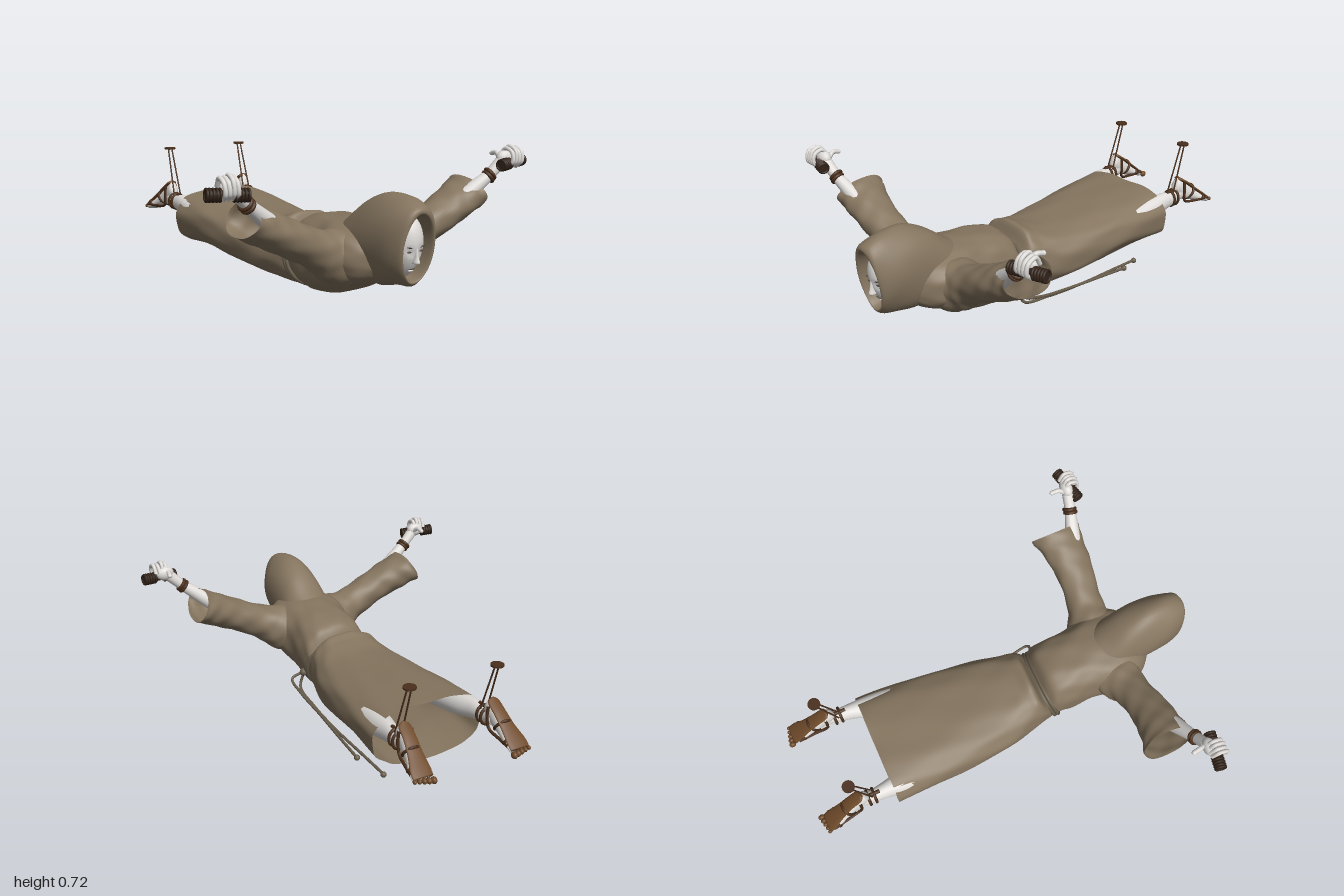
import * as THREE from 'three';

const mat = (name, color, side = THREE.FrontSide) => {
  const m = new THREE.MeshStandardMaterial({ color, side });
  m.name = name;
  return m;
};
const V = (x, y, z) => new THREE.Vector3(x, y, z);
const X = V(1, 0, 0), Y = V(0, 1, 0), Z = V(0, 0, 1);

// Catmull-Rom blend through rows of numbers
function blend(keys, t) {
  const f = t * (keys.length - 1), i = Math.min(Math.floor(f), keys.length - 2), u = f - i;
  const at = (k) => keys[Math.max(0, Math.min(keys.length - 1, k))];
  return at(i).map((_, c) => {
    const [p, q, r, s] = [at(i - 1)[c], at(i)[c], at(i + 1)[c], at(i + 2)[c]];
    return q + 0.5 * u * (r - p + u * (2 * p - 5 * q + 4 * r - s + u * (3 * (q - r) + s - p)));
  });
}

// Tube of oval sections; each key is [x, y, z, half width, half height, lean]
function loft(keys, u, v, { rows = 40, cols = 36, square = 1, fold = () => 0, cap = true } = {}) {
  const w = u.clone().cross(v), pos = [], idx = [];
  for (let i = 0; i <= rows; i++) {
    const t = i / rows, [x, y, z, a, b, lean = 0] = blend(keys, t);
    for (let j = 0; j < cols; j++) {
      const th = (j / cols) * Math.PI * 2, c = Math.cos(th), s = Math.sin(th), k = 1 + fold(t, th);
      const h = b * k * Math.sign(s) * Math.abs(s) ** square;
      const p = V(x, y, z).addScaledVector(u, a * k * Math.sign(c) * Math.abs(c) ** square)
        .addScaledVector(v, h).addScaledVector(w, lean * h);
      pos.push(p.x, p.y, p.z);
      if (i < rows) {
        const p0 = i * cols + j, p1 = i * cols + ((j + 1) % cols);
        idx.push(p0, p1, p0 + cols, p1, p1 + cols, p0 + cols);
      }
    }
  }
  if (cap) [0, rows].forEach((row, e) => {
    const [x, y, z] = keys[e ? keys.length - 1 : 0], n = pos.length / 3;
    pos.push(x, y, z);
    for (let j = 0; j < cols; j++) {
      const a = row * cols + j, b = row * cols + ((j + 1) % cols);
      idx.push(n, e ? a : b, e ? b : a);
    }
  });
  const g = new THREE.BufferGeometry();
  g.setAttribute('position', new THREE.Float32BufferAttribute(pos, 3));
  g.setIndex(idx);
  g.computeVertexNormals();
  return g;
}

export function createModel() {
  const root = new THREE.Group();
  root.name = 'flyingRobedFigure';
  const robe = mat('robeCloth', 0x85755f, THREE.DoubleSide);
  const skin = mat('paleSkin', 0xdedbd8);
  const leather = mat('darkLeather', 0x4a2f1c);
  const soleMat = mat('soleLeather', 0x6e4a2a);
  const iron = mat('darkGrip', 0x33241a);
  const rope = mat('rope', 0x685d4c);
  const dark = mat('faceLines', 0x4a423d);

  let target = root;
  const add = (name, geo, material) => {
    const m = new THREE.Mesh(geo, material);
    m.name = name;
    target.add(m);
    return m;
  };
  const ball = (name, m, p, rx, ry = rx, rz = rx) => {
    const o = add(name, new THREE.SphereGeometry(1, 20, 14), m);
    o.position.copy(p);
    o.scale.set(rx, ry, rz);
    return o;
  };
  const rod = (name, m, p, q, r1, r2 = r1) => {
    const o = add(name, new THREE.CylinderGeometry(r2, r1, p.distanceTo(q), 16), m);
    o.position.copy(p).lerp(q, 0.5);
    o.quaternion.setFromUnitVectors(Y, q.clone().sub(p).normalize());
  };
  const ring = (name, m, p, axis, r, tube, sx = 1, sy = 1) => {
    const o = add(name, new THREE.TorusGeometry(r, tube, 8, 24), m);
    o.position.copy(p);
    o.quaternion.setFromUnitVectors(Z, axis.clone().normalize());
    o.scale.set(sx, sy, 1);
  };
  const cord = (name, m, pts, r) => add(name, new THREE.TubeGeometry(
    new THREE.CatmullRomCurve3(pts.map((p) => V(...p))), 48, r, 8), m);

  // Robe body: open hem at the back, pinched at the waist
  add('robeBody', loft([
    [0, 0.26, -0.62, 0.278, 0.15, 0], [0, 0.258, -0.4, 0.27, 0.135, 0], [0, 0.24, -0.2, 0.256, 0.135, 0],
    [0, 0.225, 0, 0.233, 0.14, 0], [0, 0.23, 0.12, 0.2, 0.155, -0.05], [0, 0.235, 0.2, 0.18, 0.165, -0.15],
    [0, 0.205, 0.255, 0.165, 0.115, -0.3], [0, 0.24, 0.29, 0.17, 0.16, -0.15], [0, 0.25, 0.36, 0.175, 0.18, 0],
    [0, 0.26, 0.46, 0.175, 0.18, 0], [0, 0.28, 0.56, 0.2, 0.165, 0], [0, 0.3, 0.66, 0.2, 0.135, 0],
    [0, 0.3, 0.74, 0.16, 0.11, 0], [0, 0.3, 0.8, 0.09, 0.07, 0],
  ], X, Y, {
    rows: 110, cols: 72, square: 0.82, cap: false,
    fold: (t, a) => 0.012 * Math.sin(7 * a + 9 * t) * Math.sin(26 * t + 2 * a) + 0.008 * Math.sin(11 * a - 30 * t)
      - 0.13 * Math.max(0, 1 - t / 0.22) * Math.exp(-(((a - Math.PI / 2) / 0.45) ** 2)),
  }), robe);

  // Hood, rolled inward at the face opening
  add('hood', loft([
    [0, 0.34, 0.5, 0.08, 0.08, 0], [0, 0.345, 0.58, 0.12, 0.125, 0], [0, 0.37, 0.68, 0.125, 0.175, 0],
    [0, 0.385, 0.78, 0.125, 0.2, 0.03], [0, 0.393, 0.88, 0.118, 0.19, 0.1], [0, 0.387, 0.945, 0.1, 0.175, 0.15],
    [0, 0.383, 0.968, 0.083, 0.155, 0.15], [0, 0.378, 0.952, 0.072, 0.14, 0.15], [0, 0.378, 0.88, 0.06, 0.13, 0.1],
  ], X, Y, {
    rows: 64, cols: 48, cap: false,
    fold: (t, a) => 0.016 * Math.sin(5 * a + 14 * t) * Math.sin(Math.PI * t) - 0.03 * Math.max(0, -Math.sin(a)) * t,
  }), robe);

  // Face: leaning egg with a narrowed chin
  const FX = 0.075, FY = 0.137, FZ = 0.09, CY = 0.375;
  const head = new THREE.SphereGeometry(1, 40, 30), hp = head.attributes.position;
  for (let i = 0; i < hp.count; i++) {
    const y = hp.getY(i), x = hp.getX(i) * (1 - 0.22 * Math.max(0, -y));
    const socket = 0.01 * Math.exp(-(((Math.abs(x) - 0.38) / 0.2) ** 2) - (((y + 0.06) / 0.1) ** 2));
    hp.setXYZ(i, x * FX, CY + y * FY, 0.87 + hp.getZ(i) * (FZ - socket) + 0.15 * y * FY);
  }
  head.computeVertexNormals();
  add('head', head, skin);
  const faceZ = (x, y) => 0.87 + FZ * Math.sqrt(1 - (x / FX) ** 2 - ((y - CY) / FY) ** 2) + 0.15 * (y - CY);
  add('nose', loft([
    [0, 0.315, 0.945, 0.006, 0.006], [0, 0.32, 0.953, 0.013, 0.02], [0, 0.345, 0.953, 0.008, 0.014],
    [0, 0.385, 0.95, 0.006, 0.01],
  ], X, V(0, 0, -1), { rows: 14, cols: 14 }), skin);
  for (const s of [-1, 1]) {
    ball('eye', dark, V(s * 0.029, 0.366, faceZ(0.029, 0.366) - 0.006), 0.012, 0.004, 0.004);
    ball('brow', dark, V(s * 0.03, 0.385, faceZ(0.03, 0.385) - 0.003), 0.017, 0.003, 0.004).rotation.z = s * 0.2;
  }
  ball('mouth', dark, V(0, 0.288, faceZ(0, 0.288)), 0.018, 0.0025, 0.003);
  ball('lowerLip', skin, V(0, 0.281, faceZ(0, 0.281)), 0.014, 0.005, 0.005);

  // Rope belt, with two knotted cords trailing from the left hip
  for (const dz of [-0.008, 0.01]) {
    add('belt', new THREE.TubeGeometry(new THREE.CatmullRomCurve3(Array.from({ length: 24 }, (_, i) => {
      const a = (i / 24) * Math.PI * 2, s = Math.sin(a), c = Math.cos(a);
      return V(0.172 * Math.sign(c) * Math.abs(c) ** 0.82, 0.205 + 0.122 * s, 0.258 + dz - 0.036 * s);
    }), true), 96, 0.009, 8, true), rope);
  }
  ball('beltKnot', rope, V(0.178, 0.175, 0.285), 0.02);
  cord('cordLong', rope, [[0.175, 0.17, 0.29], [0.2, 0.1, 0.28], [0.205, 0.07, 0.12], [0.2, 0.05, -0.1],
    [0.18, 0.032, -0.35], [0.165, 0.018, -0.52]], 0.007);
  cord('cordShort', rope, [[0.175, 0.175, 0.29], [0.235, 0.145, 0.3], [0.235, 0.11, 0.2], [0.22, 0.075, 0.02],
    [0.225, 0.06, -0.2], [0.225, 0.045, -0.38]], 0.007);
  ball('cordKnot', rope, V(0.165, 0.016, -0.52), 0.014);
  ball('cordKnot', rope, V(0.225, 0.045, -0.38), 0.014);

  // Everything below is made for the left side, then mirrored
  const left = target = new THREE.Group();
  left.name = 'leftLimbs';

  // Wide open sleeve
  add('sleeve', loft([
    [0.08, 0.285, 0.6, 0.14, 0.14], [0.17, 0.31, 0.6, 0.115, 0.12], [0.26, 0.345, 0.615, 0.088, 0.088],
    [0.4, 0.41, 0.627, 0.093, 0.08], [0.52, 0.468, 0.618, 0.108, 0.082], [0.6, 0.507, 0.605, 0.126, 0.08],
  ], V(0, 0, -1), V(-0.43, 0.9, 0), {
    rows: 48, cols: 40, cap: false,
    fold: (t, a) => 0.035 * Math.sin(3 * a + 17 * t) * Math.sin(21 * t) + 0.015 * Math.sin(6 * a - 24 * t),
  }), robe);

  // Forearm, wristband and hand
  rod('forearm', skin, V(0.46, 0.45, 0.655), V(0.645, 0.59, 0.705), 0.045, 0.026);
  rod('wrist', skin, V(0.64, 0.586, 0.704), V(0.7, 0.645, 0.715), 0.025, 0.028);
  for (const k of [0, 0.012]) ring('wristband', leather, V(0.635 + k, 0.58 + k, 0.703), V(0.76, 0.62, 0.2), 0.027, 0.009);
  ball('palm', skin, V(0.722, 0.662, 0.715), 0.045, 0.036, 0.03);
  for (let i = 0; i < 4; i++) {
    const x = 0.712 + i * 0.019, up = i === 1 ? 0.008 : 0;
    cord('finger', skin, [[x, 0.67, 0.7], [x + 0.004, 0.706 + up, 0.725], [x + 0.006, 0.69 + up, 0.765],
      [x + 0.004, 0.65, 0.772], [x, 0.628, 0.75]], 0.0095);
    ball('fingertip', skin, V(x, 0.628, 0.75), 0.0095);
  }
  cord('thumb', skin, [[0.7, 0.65, 0.71], [0.715, 0.68, 0.67], [0.72, 0.674, 0.637]], 0.011);
  ball('thumbTip', skin, V(0.72, 0.674, 0.637), 0.011);

  // Ringed grip held in the hand
  const g0 = V(0.662, 0.635, 0.755), g1 = V(0.827, 0.645, 0.718), axis = g1.clone().sub(g0);
  rod('grip', iron, g0, g1, 0.018);
  for (const t of [0.02, 0.1, 0.18, 0.26, 0.34, 0.68, 0.76, 0.84, 0.92, 0.99])
    ring('gripRing', iron, g0.clone().lerp(g1, t), axis, 0.023, 0.006);

  // Leg and foot, sole turned up
  add('leg', loft([
    [0.19, 0.28, -0.35, 0.065, 0.065], [0.205, 0.305, -0.55, 0.055, 0.058], [0.215, 0.322, -0.66, 0.038, 0.047],
    [0.22, 0.328, -0.74, 0.029, 0.036], [0.221, 0.345, -0.8, 0.028, 0.04],
  ], V(-1, 0, 0), Y, { rows: 24, cols: 24 }), skin);
  const instep = V(0, -0.8, 0.6), path = [[0.22, 0.427, -0.768, 0.01, 0.015], [0.22, 0.417, -0.782, 0.028, 0.035],
    [0.222, 0.385, -0.83, 0.031, 0.043], [0.228, 0.34, -0.885, 0.036, 0.032], [0.235, 0.3, -0.935, 0.047, 0.02],
    [0.237, 0.275, -0.965, 0.047, 0.013]];
  add('foot', loft(path.map(([x, y, z, a, b]) => [x, y - 0.8 * b, z + 0.6 * b, a * 0.93, b]), X, instep,
    { rows: 24, cols: 24 }), skin);
  add('sole', loft(path.map(([x, y, z, a]) => [x, y, z, a, 0.009]), X, instep, { rows: 24, cols: 24 }), soleMat);
  for (let i = 0; i < 5; i++) {
    const r = 0.0155 - i * 0.0015;
    ball('toe', soleMat, V(0.197 + i * 0.0205, 0.262 + i * 0.002, -0.981 + i * 0.003), r * 0.85, r, r * 1.1);
  }

  // Sandal straps
  for (const z of [-0.715, -0.745]) ring('ankleStrap', leather, V(0.219, 0.328, z), Z, 0.036, 0.007, 0.95, 1.1);
  rod('strapBar', leather, V(0.22, 0.364, -0.685), V(0.22, 0.366, -0.775), 0.009);
  for (const s of [-1, 1]) {
    cord('sideStrap', leather, [[0.22 + s * 0.03, 0.405, -0.79], [0.22 + s * 0.034, 0.35, -0.79],
      [0.222 + s * 0.03, 0.3, -0.8], [0.23 + s * 0.034, 0.285, -0.87], [0.235 + s * 0.045, 0.285, -0.945]], 0.007);
  }
  const slope = V(0, -0.6, -0.8);
  ring('instepStrap', leather, V(0.226, 0.333, -0.848), slope, 0.038, 0.007, 0.95, 1.02);
  ring('toeStrap', leather, V(0.234, 0.292, -0.915), slope, 0.046, 0.007, 1, 0.5);

  // Twin thin rods rising to a disc above the ankle
  for (const s of [-1, 1])
    rod('ankleRod', leather, V(0.213 + s * 0.018, 0.36, -0.727), V(0.212 + s * 0.01, 0.6, -0.803), 0.0038);
  rod('rodDisc', leather, V(0.212, 0.597, -0.803), V(0.212, 0.605, -0.803), 0.029);

  // Right side: mirrored geometry with reversed winding
  const right = new THREE.Group();
  right.name = 'rightLimbs';
  left.children.forEach((m) => {
    m.updateMatrix();
    const g = m.geometry.clone().applyMatrix4(m.matrix).scale(-1, 1, 1), ix = g.index.array;
    for (let i = 0; i < ix.length; i += 3) [ix[i], ix[i + 1]] = [ix[i + 1], ix[i]];
    const o = new THREE.Mesh(g, m.material);
    o.name = m.name;
    right.add(o);
  });
  root.add(left, right);
  return root;
}
